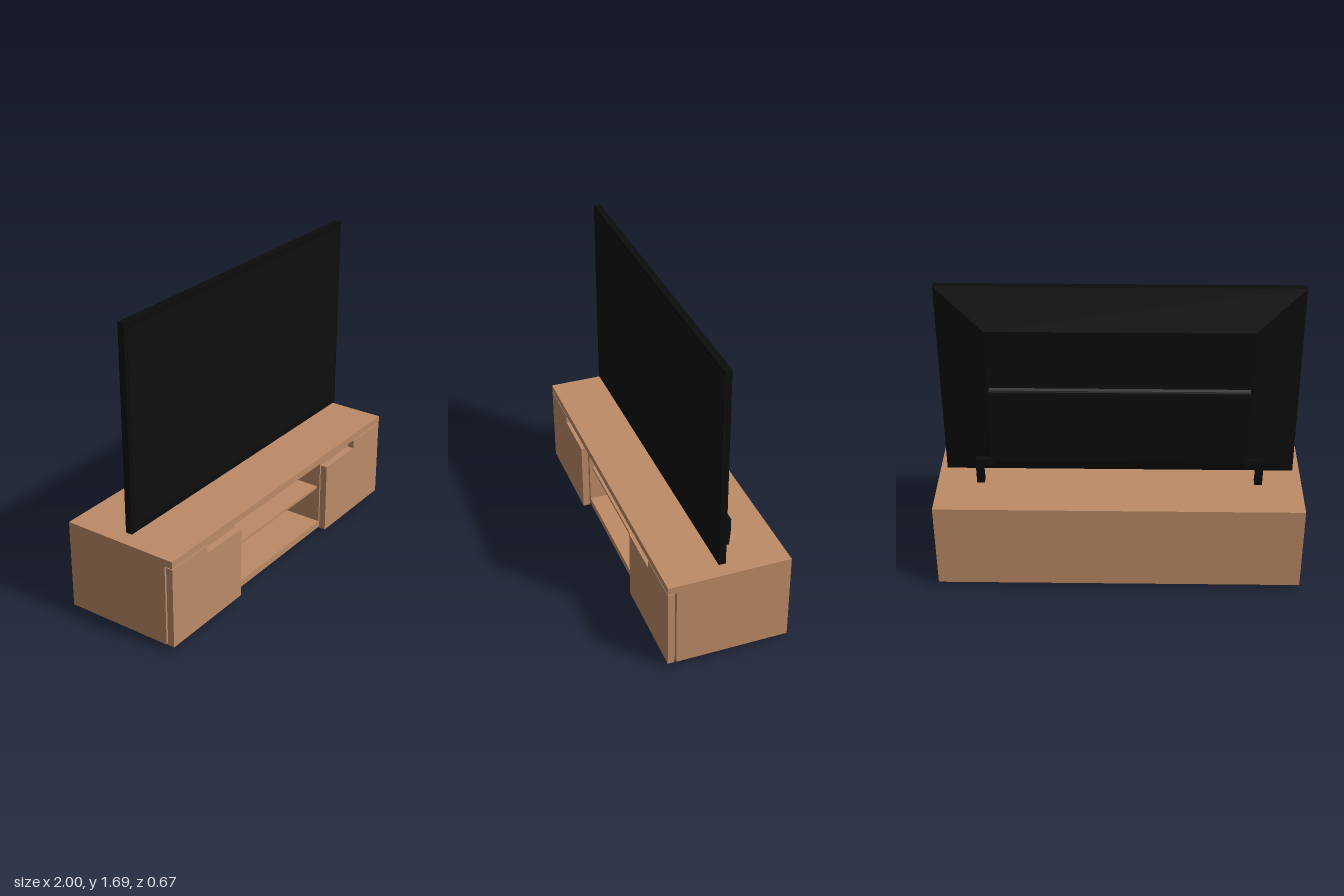
import * as THREE from 'three';

const wood = new THREE.MeshStandardMaterial({ color: 0xbd8b67 });
wood.name = 'wood';
const black = new THREE.MeshStandardMaterial({ color: 0x0c0c0c });
black.name = 'black plastic';
const glass = new THREE.MeshStandardMaterial({ color: 0x0e0e0e });
glass.name = 'screen glass';

function add(parent, name, geometry, material) {
  const mesh = new THREE.Mesh(geometry, material);
  mesh.name = name;
  parent.add(mesh);
  return mesh;
}

// Box given by its minimum and maximum corners
function block(parent, name, material, [x0, y0, z0], [x1, y1, z1]) {
  const g = new THREE.BoxGeometry(x1 - x0, y1 - y0, z1 - z0);
  g.translate((x0 + x1) / 2, (y0 + y1) / 2, (z0 + z1) / 2);
  return add(parent, name, g, material);
}

// Side profile of [z, y] points, extruded along x from x0 to x1
function profile(points, x0, x1) {
  const shape = new THREE.Shape(points.map(([z, y]) => new THREE.Vector2(z, y)));
  const g = new THREE.ExtrudeGeometry(shape, { depth: x1 - x0, bevelEnabled: false });
  g.rotateY(-Math.PI / 2);
  g.translate(x1, 0, 0);
  return g;
}

function buildCabinet() {
  const cabinet = new THREE.Group();
  cabinet.name = 'cabinet';

  // Carcass with an open niche in the middle
  block(cabinet, 'top', wood, [-1, 0.49, -0.332], [1, 0.53, 0.333]);
  block(cabinet, 'nicheFloor', wood, [-0.42, 0.03, -0.332], [0.42, 0.07, 0.287]);
  block(cabinet, 'nicheBack', wood, [-0.42, 0.07, -0.332], [0.42, 0.49, -0.31]);
  block(cabinet, 'shelf', wood, [-0.42, 0.28, -0.31], [0.42, 0.295, 0.27]);

  for (const s of [-1, 1]) {
    const side = s < 0 ? 'right' : 'left';
    const xs = (a, b) => (s < 0 ? [-b, -a] : [a, b]);
    const [x0, x1] = xs(0.42, 1);
    block(cabinet, side + 'Compartment', wood, [x0, 0.03, -0.332], [x1, 0.49, 0.287]);

    // Door with a finger notch cut from the upper inner corner
    const outline = [[0.418, 0.03], [0.998, 0.03], [0.998, 0.484], [0.71, 0.484], [0.71, 0.438], [0.418, 0.438]];
    const shape = new THREE.Shape(outline.map(([x, y]) => new THREE.Vector2(s * x, y)));
    const door = new THREE.ExtrudeGeometry(shape, { depth: 0.038, bevelEnabled: false });
    door.translate(0, 0, 0.295);
    add(cabinet, side + 'Door', door, wood);

    // Round feet, recessed underneath
    for (const z of [0.205, -0.247]) {
      const points = [[0, 0.012], [0.014, 0.012], [0.014, 0], [0.033, 0], [0.038, 0.03]];
      const foot = new THREE.LatheGeometry(points.map(([r, y]) => new THREE.Vector2(r, y)), 24);
      const mesh = add(cabinet, side + (z > 0 ? 'Front' : 'Back') + 'Foot', foot, black);
      mesh.position.set(s * 0.915, 0, z);
    }
  }
  return cabinet;
}

function buildTelevision() {
  const tv = new THREE.Group();
  tv.name = 'television';

  // Slim front frame and screen
  block(tv, 'frame', black, [-0.955, 0.565, 0.01], [0.955, 1.69, 0.048]);
  block(tv, 'screen', glass, [-0.935, 0.6, 0.047], [0.935, 1.655, 0.05]);

  // Back shell: a box whose rear face is drawn in
  const shell = new THREE.BoxGeometry(2, 1, 1);
  const p = shell.attributes.position;
  for (let i = 0; i < p.count; i++) {
    const up = p.getY(i) > 0;
    const side = Math.sign(p.getX(i));
    if (p.getZ(i) > 0) p.setXYZ(i, side * 0.955, up ? 1.69 : 0.565, 0.01);
    else p.setXYZ(i, side * 0.7, up ? 1.47 : 0.68, -0.065);
  }
  shell.computeVertexNormals();
  add(tv, 'backShell', shell, black);

  // Electronics housing with a curved upper edge
  const housing = [[-0.06, 0.69], [-0.06, 1.155], [-0.065, 1.155], [-0.069, 1.135],
    [-0.077, 1.124], [-0.088, 1.12], [-0.108, 1.12], [-0.108, 0.69]];
  add(tv, 'rearHousing', profile(housing, -0.69, 0.69), black);

  // Curved stand legs on brackets
  const leg = [[-0.03, 0.53], [-0.043, 0.555], [-0.053, 0.6], [-0.057, 0.69],
    [-0.088, 0.69], [-0.088, 0.62], [-0.084, 0.57], [-0.08, 0.53]];
  for (const s of [-1, 1]) {
    const side = s < 0 ? 'right' : 'left';
    const c = s * 0.762;
    add(tv, side + 'Leg', profile(leg, c - 0.021, c + 0.021), black);
    const [x0, x1] = s < 0 ? [-0.783, -0.68] : [0.68, 0.783];
    block(tv, side + 'LegBracket', black, [x0, 0.65, -0.088], [x1, 0.69, -0.055]);
  }
  return tv;
}

export function createModel() {
  const model = new THREE.Group();
  model.name = 'televisionOnCabinet';
  model.add(buildCabinet(), buildTelevision());
  return model;
}
